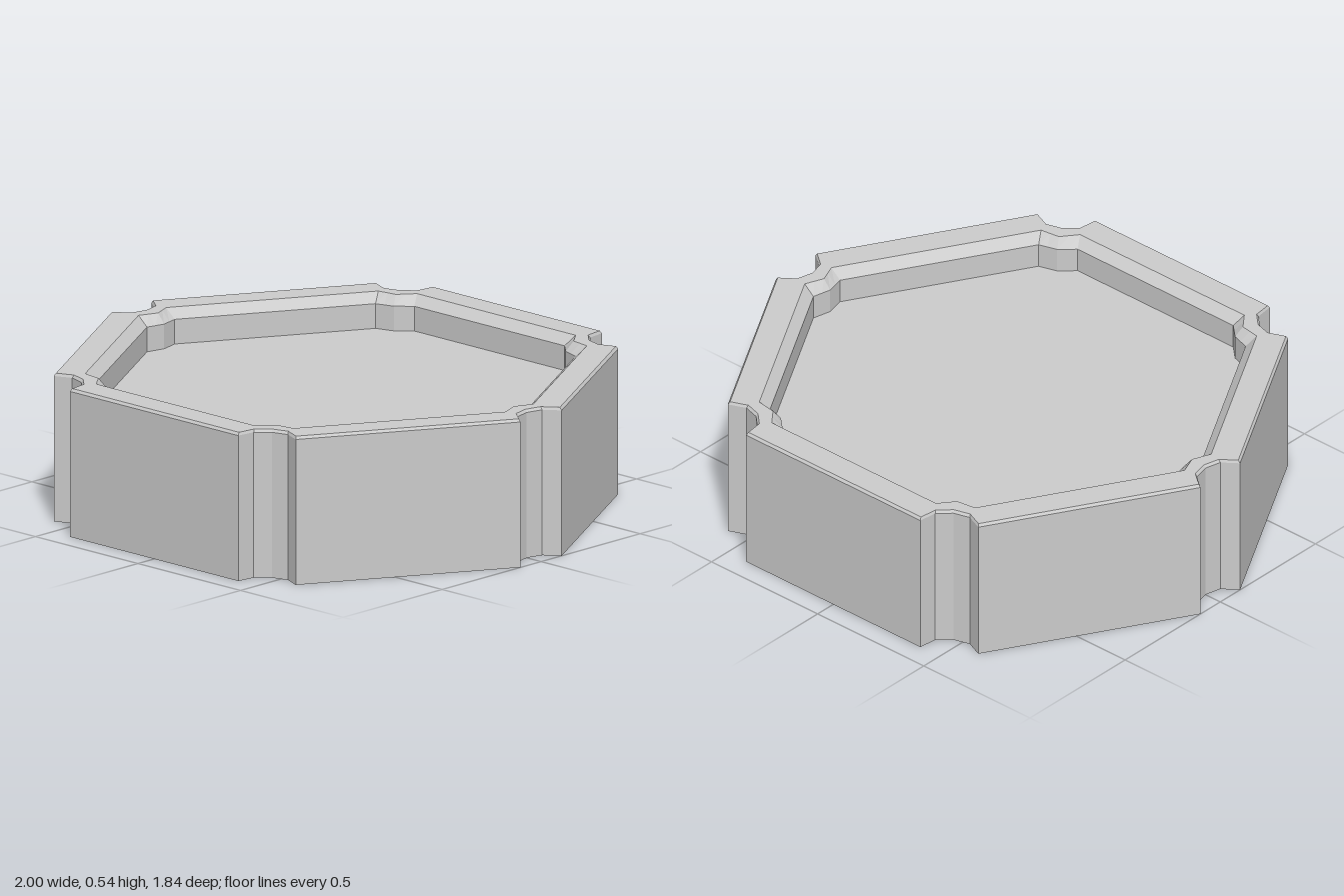
import * as THREE from 'three';

const material = new THREE.MeshStandardMaterial({
  color: 0xcccccc, flatShading: true, side: THREE.DoubleSide,
});

// Repeats one corner's [x, z] points six times around the y axis at height y.
function ring(corner, y) {
  const points = [];
  for (let k = 0; k < 6; k++) {
    const c = Math.cos(k * Math.PI / 3), s = Math.sin(k * Math.PI / 3);
    for (const [x, z] of corner) points.push([x * c - z * s, y, x * s + z * c]);
  }
  return points;
}

// Skins a series of rings with flat faces.
function skin(name, rings) {
  const pos = [];
  for (let r = 0; r + 1 < rings.length; r++) {
    const low = rings[r], up = rings[r + 1];
    for (let i = 0; i < low.length; i++) {
      const j = (i + 1) % low.length;
      pos.push(...low[i], ...up[i], ...low[j], ...low[j], ...up[i], ...up[j]);
    }
  }
  return makeMesh(name, pos);
}

// Closes a ring with a fan around its centre.
function cap(name, points) {
  const pos = [];
  points.forEach((p, i) => pos.push(...p, 0, p[1], 0, ...points[(i + 1) % points.length]));
  return makeMesh(name, pos);
}

function makeMesh(name, pos) {
  const geometry = new THREE.BufferGeometry();
  geometry.setAttribute('position', new THREE.Float32BufferAttribute(pos, 3));
  geometry.computeVertexNormals();
  const mesh = new THREE.Mesh(geometry, material);
  mesh.name = name;
  return mesh;
}

// Corner profiles: a scooped notch outside, a shallow dent inside.
const notch = (s) => [[1, -0.104], [0.945, -0.062], [0.93, 0], [0.945, 0.062], [1, 0.104]]
  .map(([x, z]) => [x * s, z * s]);
const dent = (x, mid, z) => [[x, -z], [(x + mid) / 2, -z / 2], [mid, 0], [(x + mid) / 2, z / 2], [x, z]];

export function createModel() {
  const group = new THREE.Group();
  group.name = 'hexagonalTray';

  const base = ring(notch(1), 0);
  const wallTop = ring(notch(1), 0.53);
  const rimOuter = ring(notch(0.992), 0.54);
  const rimInner = ring(dent(0.895, 0.867, 0.07), 0.54);
  const bevelEnd = ring(dent(0.854, 0.838, 0.07), 0.505);
  const floorEdge = ring(dent(0.854, 0.838, 0.07), 0.415);

  group.add(
    skin('outerWall', [base, wallTop]),                 // open underneath
    skin('rim', [wallTop, rimOuter, rimInner]),         // thin chamfer and flat rim
    skin('innerBevel', [rimInner, bevelEnd]),
    skin('recessWall', [bevelEnd, floorEdge]),
    cap('floor', floorEdge),
  );
  return group;
}
